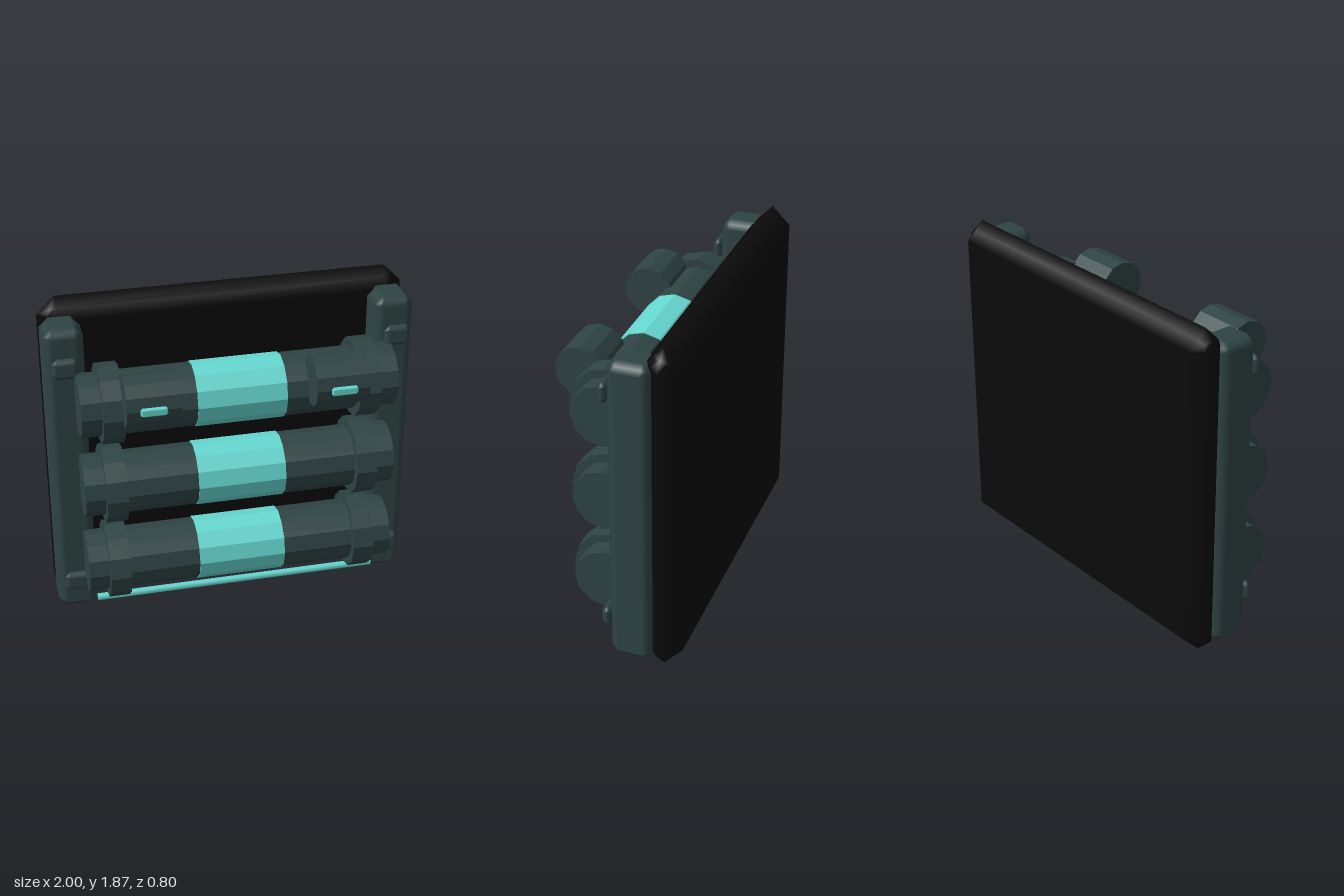
import * as THREE from 'three';
import { RoundedBoxGeometry } from 'three/addons/geometries/RoundedBoxGeometry.js';

// Box with straight 45 degree chamfers and softly blended normals
function chamferBox(w, h, d, r) {
  const geo = new RoundedBoxGeometry(w, h, d, 1, r);
  const pos = geo.attributes.position, nor = geo.attributes.normal;
  const p = new THREE.Vector3(), n = new THREE.Vector3();
  for (let i = 0; i < pos.count; i++) {
    p.fromBufferAttribute(pos, i);
    n.fromBufferAttribute(nor, i);
    p.addScaledVector(n, r / n.manhattanLength() - r);
    pos.setXYZ(i, p.x, p.y, p.z);
  }
  return geo;
}

// Cylinder lying along x; hard-faceted unless smooth
function xCylinder(radius, length, sides, smooth = false) {
  let geo = new THREE.CylinderGeometry(radius, radius, length, sides).rotateZ(Math.PI / 2);
  if (!smooth) {
    geo = geo.toNonIndexed();
    geo.computeVertexNormals();
  }
  return geo;
}

export function createModel() {
  const group = new THREE.Group();
  const black = new THREE.MeshStandardMaterial({ name: 'black', color: 0x0a0a0a });
  const slate = new THREE.MeshStandardMaterial({ name: 'dark slate', color: 0x2f4444 });
  const teal = new THREE.MeshStandardMaterial({ name: 'bright teal', color: 0x66d9d1 });

  const add = (name, geo, mat, x, y, z) => {
    const mesh = new THREE.Mesh(geo, mat);
    mesh.name = name;
    mesh.position.set(x, y, z);
    group.add(mesh);
  };

  add('backPanel', chamferBox(2, 1.87, 0.2, 0.1), black, 0, 0.935, -0.3);

  // Three canisters with a glowing band and two collars each
  for (const y of [1.393, 0.903, 0.413]) {
    add('canister', xCylinder(0.17, 1.7, 12), slate, 0, y, 0.047);
    add('glowBand', xCylinder(0.175, 0.48, 12), teal, 0, y, 0.047);
    for (const s of [-1, 1]) {
      add('collar', xCylinder(0.215, 0.115, 12), slate, s * 0.685, y, 0.047);
    }
  }

  // Mirrored side parts
  for (const s of [-1, 1]) {
    add('sideRail', chamferBox(0.215, 1.745, 0.235, 0.05), slate, s * 0.8925, 0.917, -0.145);
    for (const y of [1.59, 0.257]) {
      add('railStud', chamferBox(0.145, 0.12, 0.06, 0.03), slate, s * 0.896, y, 0);
    }
    add('latchDrum', xCylinder(0.139, 0.283, 12), slate, s * 0.497, 1.503, 0.242);
    add('latchLight', chamferBox(0.14, 0.046, 0.03, 0.01), teal, s * 0.5, 1.5, 0.385);
  }

  add('lightBar', xCylinder(0.02, 1.59, 8, true), teal, 0, 0.16, 0.05);

  return group;
}
